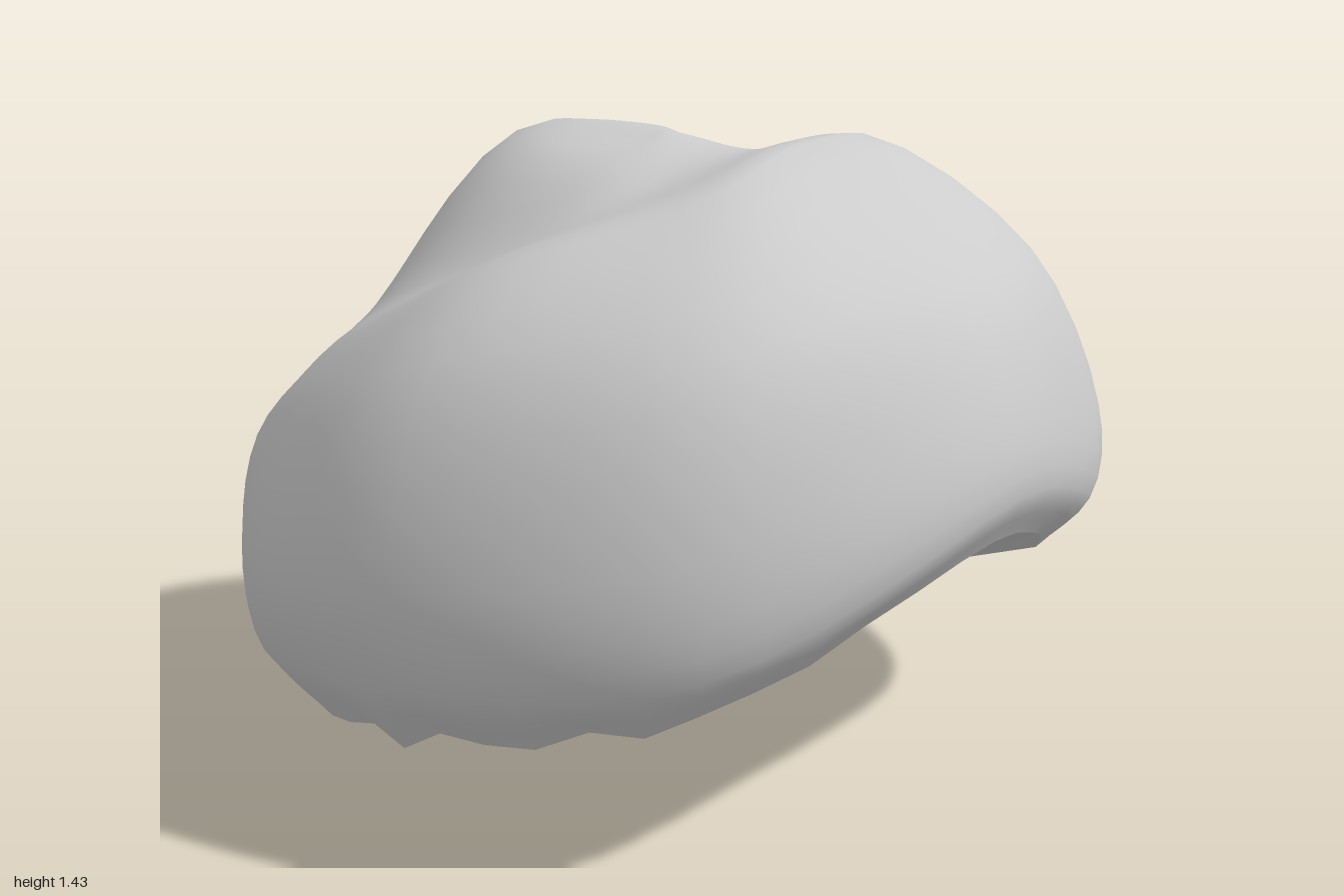
import * as THREE from 'three';
import { mergeVertices } from 'three/addons/utils/BufferGeometryUtils.js';

// Eight radial profiles, every 45 degrees from the front (+z) towards +x.
// Each lists radius, height for: dome, valley, ring crest, shoulder, widest, lower, rim.
const PROFILES = [
  [.14, 1.4, .24, 1.4, .37, 1.425, .77, 1.2, .91, .98, .96, .78, .9, .67],
  [.14, 1.38, .27, 1.34, .46, 1.395, .85, 1.13, 1.01, .75, .99, .52, .87, .4],
  [.17, 1.35, .4, 1.12, .67, 1.18, .9, .97, 1.0, .6, .95, .38, .84, .24],
  [.37, 1.33, .61, .94, .81, .88, .94, .77, .99, .5, .95, .25, .82, .12],
  [.42, 1.37, .64, 1.09, .73, .84, .91, .65, .98, .45, .88, .12, .69, .0],
  [.32, 1.36, .62, 1.05, .78, .9, .92, .73, .98, .5, .94, .25, .82, .12],
  [.2, 1.38, .42, 1.25, .65, 1.2, .87, .99, .99, .62, .95, .4, .84, .25],
  [.14, 1.4, .28, 1.36, .5, 1.35, .83, 1.13, .965, .78, .96, .52, .86, .4],
];
const AROUND = 48, DOWN = 28;

function indexedGeometry(positions, indices) {
  const g = new THREE.BufferGeometry();
  g.setAttribute('position', new THREE.Float32BufferAttribute(positions, 3));
  g.setIndex(indices);
  return g;
}

// Closed curves around the body, one for each profile level
function levelCurves() {
  return [0, 1, 2, 3, 4, 5, 6].map((level) => new THREE.CatmullRomCurve3(
    PROFILES.map((p, k) => {
      const a = k * Math.PI / 4, r = p[level * 2];
      return new THREE.Vector3(Math.sin(a) * r, p[level * 2 + 1], Math.cos(a) * r);
    }), true, 'catmullrom', 0.5));
}

export function createModel() {
  const group = new THREE.Group();
  const grey = new THREE.MeshStandardMaterial({ color: 0xcccccc });
  grey.name = 'light grey';

  // Soft rolled cap, a ring tilted down at the back around an off-centre dome
  const levels = levelCurves(), positions = [], indices = [], rim = [];
  for (let j = 0; j < AROUND; j++) {
    const a = j / AROUND * Math.PI * 2;
    const points = [new THREE.Vector3(0, 1.42, 0), ...levels.map((c) => c.getPoint(j / AROUND))];
    // Uneven hem
    points[7].y += 0.025 * Math.sin(j * 2.4) * (1 - Math.cos(a * 2)) / 2;
    const profile = new THREE.CatmullRomCurve3(points);
    for (let i = 0; i <= DOWN; i++) {
      const p = profile.getPoint(i / DOWN);
      // Gentle lumps on the outside
      const k = 1 + 0.012 * Math.sin(a * 7 + i * 0.4) * Math.sin(i / DOWN * Math.PI);
      positions.push(p.x * k, p.y, p.z * k);
      if (i === DOWN) rim.push(p);
      if (i < DOWN) {
        const n = (j + 1) % AROUND, s = DOWN + 1;
        const A = j * s + i, B = A + 1, D = n * s + i, C = D + 1;
        indices.push(A, B, C);
        if (i > 0) indices.push(A, C, D);
      }
    }
  }
  const capGeometry = mergeVertices(indexedGeometry(positions, indices));
  capGeometry.computeVertexNormals();
  const cap = new THREE.Mesh(capGeometry, grey);
  cap.name = 'cap';
  group.add(cap);

  // Folded underside, a fan gathered at one point
  const fan = [];
  rim.forEach((p, j) => {
    const q = rim[(j + 1) % AROUND];
    fan.push(-0.2, 0.545, 0.54, q.x, q.y, q.z, p.x, p.y, p.z);
  });
  const fanGeometry = indexedGeometry(fan, null);
  fanGeometry.computeVertexNormals();
  const underside = new THREE.Mesh(fanGeometry, grey);
  underside.name = 'underside';
  group.add(underside);

  return group;
}
